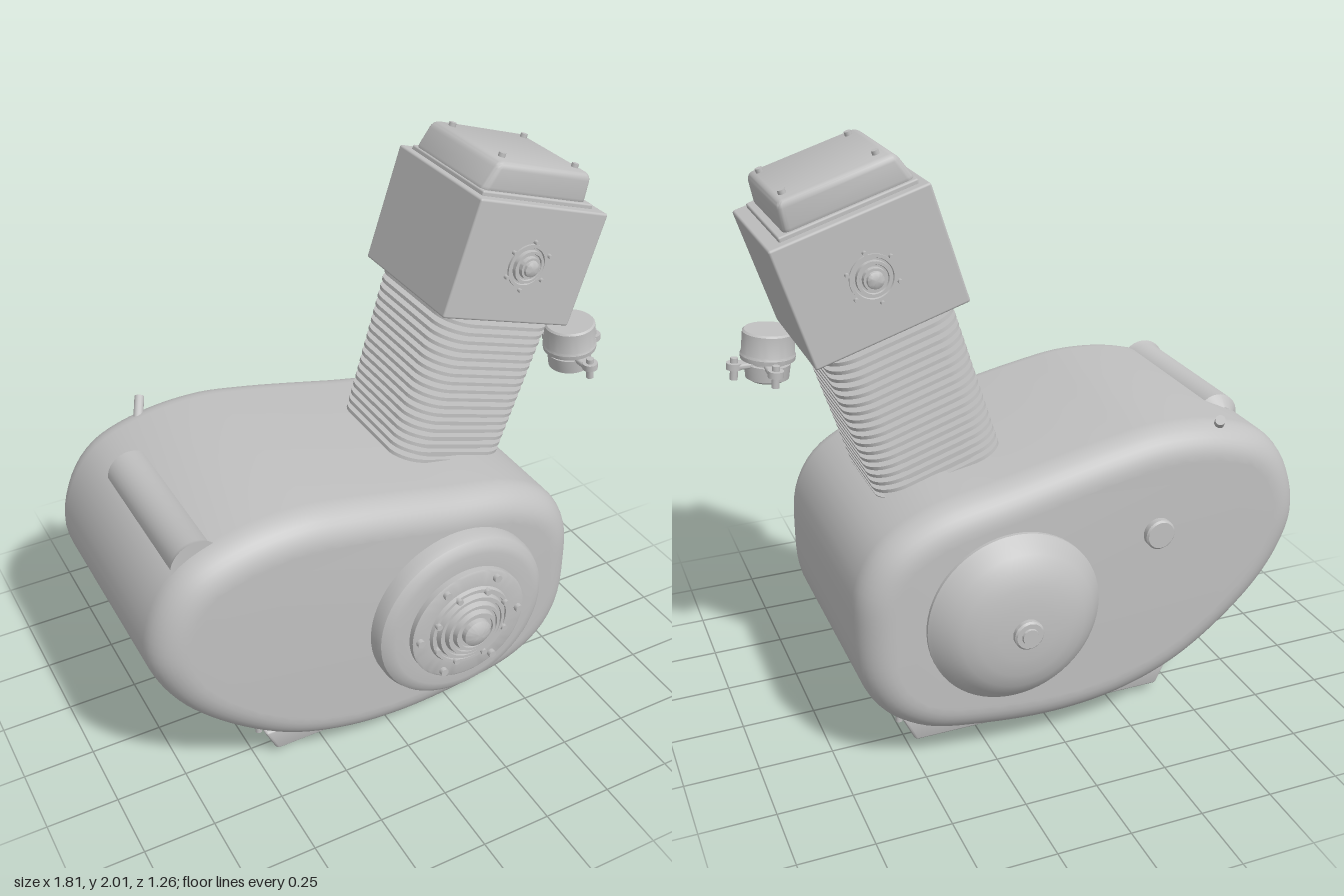
import * as THREE from 'three';
import { toCreasedNormals } from 'three/addons/utils/BufferGeometryUtils.js';
import { RoundedBoxGeometry } from 'three/addons/geometries/RoundedBoxGeometry.js';

const metal = new THREE.MeshStandardMaterial({ color: 0xc0c0c0 });
metal.name = 'grey metal';
const MID_Z = -0.015;

function add(parent, name, geometry, x = 0, y = 0, z = 0) {
  const mesh = new THREE.Mesh(geometry, metal);
  mesh.name = name;
  mesh.position.set(x, y, z);
  parent.add(mesh);
  return mesh;
}

// Turned part: profile of [radius, height], axis along y
function turned(profile, sides = 48) {
  const points = profile.map(([r, h]) => new THREE.Vector2(r, h));
  return toCreasedNormals(new THREE.LatheGeometry(points, sides), 0.5);
}

// Rounded box whose corners follow a rule
function shapedBox(w, h, d, radius, rule) {
  const geo = new RoundedBoxGeometry(w, h, d, 3, radius);
  const pos = geo.attributes.position;
  for (let i = 0; i < pos.count; i++) {
    const p = new THREE.Vector3().fromBufferAttribute(pos, i);
    rule(p, p.y / h + 0.5);
    pos.setXYZ(i, p.x, p.y, p.z);
  }
  return toCreasedNormals(geo, 0.6);
}

function roundedRect(w, d, r) {
  const s = new THREE.Shape();
  s.absarc(w - r, d - r, r, 0, Math.PI / 2);
  s.absarc(-w + r, d - r, r, Math.PI / 2, Math.PI);
  s.absarc(-w + r, -d + r, r, Math.PI, Math.PI * 1.5);
  s.absarc(w - r, -d + r, r, Math.PI * 1.5, Math.PI * 2);
  return s;
}

// Ring of bolts lying in the local xz plane
function boltRing(parent, count, ringRadius, height, r, h, phase = 0) {
  for (let i = 0; i < count; i++) {
    const a = phase + (i / count) * Math.PI * 2;
    add(parent, 'bolt', new THREE.CylinderGeometry(r, r, h, 12),
      Math.cos(a) * ringRadius, height, Math.sin(a) * ringRadius);
  }
}

// Group whose y axis points along +z (side 1) or -z (side -1)
function sideGroup(parent, name, x, y, z, side) {
  const g = new THREE.Group();
  g.name = name;
  g.position.set(x, y, z);
  g.rotation.x = side * Math.PI / 2;
  parent.add(g);
  return g;
}

function buildCrankcase(root) {
  const outline = [[-0.885, 0.70], [-0.845, 0.88], [-0.75, 1.0], [-0.57, 1.068], [-0.36, 1.085],
    [-0.18, 1.06], [0.17, 0.985], [0.46, 0.918], [0.61, 0.825], [0.68, 0.7], [0.694, 0.55],
    [0.68, 0.36], [0.61, 0.23], [0.48, 0.14], [0.27, 0.095], [0, 0.077], [-0.24, 0.107],
    [-0.47, 0.195], [-0.72, 0.39], [-0.835, 0.545]];
  const curve = new THREE.CatmullRomCurve3(outline.map(([x, y]) => new THREE.Vector3(x, y, 0)), true);
  const pts = curve.getSpacedPoints(110).slice(0, -1).map((p) => new THREE.Vector2(p.x, p.y)).reverse();
  const t = 0.11;
  const geo = new THREE.ExtrudeGeometry(new THREE.Shape(pts), {
    depth: 0.95 - 2 * t, bevelThickness: t, bevelSize: t, bevelOffset: -t, bevelSegments: 9, curveSegments: 1,
  });
  add(root, 'crankcase', toCreasedNormals(geo, 0.7), 0, 0, -0.49 + t);

  // Oil pan, narrower at the bottom
  add(root, 'oilPan', shapedBox(1, 0.095, 0.665, 0.012, (p, k) => {
    p.x *= 0.91 + 0.09 * k;
  }), 0.026, 0.0775, -0.008);
  add(root, 'drainPlug', new THREE.CylinderGeometry(0.028, 0.028, 0.04, 6), 0.024, 0.02, MID_Z);
  for (const x of [-0.48, 0.53]) for (const z of [-0.31, 0.28]) {
    add(root, 'panBolt', new THREE.CylinderGeometry(0.012, 0.012, 0.025, 10), x, 0.118, z);
  }

  // Breather tube across the top, chamfered at the back
  const tube = turned([[0, 0], [0.088, 0], [0.08, 0.02], [0.08, 0.565], [0.045, 0.6], [0, 0.6]], 32);
  tube.rotateX(-Math.PI / 2);
  add(root, 'breatherTube', tube, -0.69, 0.985, 0.36);

  // Small dipstick at the rear edge
  const stick = new THREE.LineCurve3(new THREE.Vector3(-0.6, 1.02, -0.37), new THREE.Vector3(-0.55, 1.095, -0.465));
  const dir = stick.v2.clone().sub(stick.v1);
  const rod = add(root, 'dipstick', new THREE.CylinderGeometry(0.017, 0.017, dir.length(), 14));
  rod.position.copy(stick.getPoint(0.5));
  rod.quaternion.setFromUnitVectors(new THREE.Vector3(0, 1, 0), dir.normalize());
}

function buildCovers(root) {
  // Front clutch cover with stepped rings
  const front = sideGroup(root, 'clutchCover', 0.187, 0.54, 0.45, 1);
  add(front, 'coverDisc', turned([[0.323, -0.03], [0.323, 0.045], [0.315, 0.065], [0.295, 0.08],
    [0.27, 0.085], [0.218, 0.085], [0.218, 0.106], [0.21, 0.11], [0.15, 0.11], [0, 0.11]], 64));
  const steps = [[0.155, 0.11]];
  [0.15, 0.125, 0.1, 0.076].forEach((r, i) => {
    const h = 0.122 + i * 0.011;
    steps.push([r, h], [r - 0.011, h], [r - 0.012, h - 0.007], [r - 0.019, h - 0.007]);
  });
  steps.push([0.052, 0.148], [0.05, 0.165], [0.036, 0.174], [0.015, 0.18], [0, 0.18]);
  add(front, 'coverRings', turned(steps, 56));
  boltRing(front, 6, 0.193, 0.113, 0.014, 0.025);
  boltRing(front, 8, 0.142, 0.124, 0.011, 0.02, Math.PI / 8);

  // Rear domed cover
  const back = sideGroup(root, 'rearCover', 0.187, 0.54, -0.48, -1);
  add(back, 'dome', turned([[0.297, -0.02], [0.297, 0.022], [0.288, 0.032], [0.25, 0.075], [0.21, 0.1],
    [0.16, 0.117], [0.1, 0.125], [0, 0.13]], 64));
  add(back, 'domeNut', turned([[0.05, 0.1], [0.05, 0.142], [0.044, 0.148], [0.028, 0.148],
    [0.026, 0.155], [0, 0.155]], 28));

  const plug = sideGroup(root, 'rearPlug', -0.325, 0.74, -0.48, -1);
  add(plug, 'plugDisc', turned([[0.052, -0.02], [0.052, 0.03], [0.046, 0.036], [0, 0.036]], 32));
}

function buildCylinder(root) {
  // Leaning group centred on the head
  const g = new THREE.Group();
  g.name = 'leaningCylinder';
  g.position.set(0.546, 1.649, MID_Z);
  g.rotation.z = -0.308;
  root.add(g);

  add(g, 'cylinderHead', new RoundedBoxGeometry(0.52, 0.4, 0.5, 2, 0.008));
  add(g, 'headGasket', new RoundedBoxGeometry(0.45, 0.02, 0.43, 2, 0.006), -0.01, 0.205, 0);
  add(g, 'rockerCover', shapedBox(0.43, 0.11, 0.41, 0.025, (p, k) => {
    if (p.x < 0) p.x *= 1.06 - 0.18 * k;
    else p.x *= 0.95 - 0.06 * k;
  }), -0.01, 0.255, 0);
  for (const x of [-0.155, 0.145]) for (const z of [-0.145, 0.145]) {
    add(g, 'coverBolt', new THREE.CylinderGeometry(0.012, 0.012, 0.02, 12), x, 0.313, z);
  }

  // Round caps on both sides of the head
  for (const side of [1, -1]) {
    const cap = sideGroup(g, 'headCap', 0, 0, side * 0.245, side);
    add(cap, 'capRings', turned([[0.075, 0], [0.075, 0.012], [0.064, 0.012], [0.062, 0.006], [0.056, 0.006],
      [0.055, 0.02], [0.046, 0.02], [0.044, 0.014], [0.038, 0.014], [0.036, 0.028], [0.028, 0.028],
      [0.026, 0.036], [0.016, 0.042], [0, 0.043]], 40));
    boltRing(cap, 6, 0.083, 0.01, 0.007, 0.02, Math.PI / 6);
  }

  // Barrel and its cooling fins
  const core = new THREE.ExtrudeGeometry(roundedRect(0.18, 0.2, 0.09), { depth: 0.68, bevelEnabled: false, curveSegments: 8 });
  core.rotateX(Math.PI / 2);
  add(g, 'barrel', toCreasedNormals(core, 0.5), 0, -0.18, 0);
  const fin = new THREE.ExtrudeGeometry(roundedRect(0.222, 0.248, 0.1), { depth: 0.012, bevelEnabled: false, curveSegments: 8 });
  fin.rotateX(Math.PI / 2);
  const finGeo = toCreasedNormals(fin, 0.5);
  const count = 18;
  for (let i = 0; i < count; i++) {
    const k = i / (count - 1);
    add(g, 'coolingFin', finGeo, 0, -0.215 - k * 0.515, 0).scale.z = 1 - 0.1 * k;
  }
}

function buildFloatChamber(root) {
  const g = new THREE.Group();
  g.name = 'floatChamber';
  g.position.set(0.78, 1.285, 0.195);
  g.rotation.z = 0.1;
  root.add(g);
  add(g, 'chamberBody', turned([[0, -0.09], [0.055, -0.09], [0.072, -0.08], [0.076, -0.03], [0.062, -0.03],
    [0.062, -0.015], [0.09, -0.015], [0.092, 0], [0.088, 0.008], [0.086, 0.078], [0.08, 0.084], [0, 0.084]], 40));
  // Three lugs with bolts
  for (const a of [Math.PI / 2, -0.2, -Math.PI / 2]) {
    const lug = new THREE.Group();
    lug.name = 'lug';
    lug.rotation.y = -a;
    g.add(lug);
    add(lug, 'lugArm', new RoundedBoxGeometry(0.08, 0.02, 0.05, 2, 0.008), 0.085, -0.03, 0);
    add(lug, 'lugEye', new THREE.CylinderGeometry(0.026, 0.026, 0.022, 20), 0.118, -0.03, 0);
    add(lug, 'lugBolt', new THREE.CylinderGeometry(0.013, 0.013, 0.075, 12), 0.118, -0.04, 0);
  }
}

export function createModel() {
  const root = new THREE.Group();
  root.name = 'engine';
  buildCrankcase(root);
  buildCovers(root);
  buildCylinder(root);
  buildFloatChamber(root);
  return root;
}
